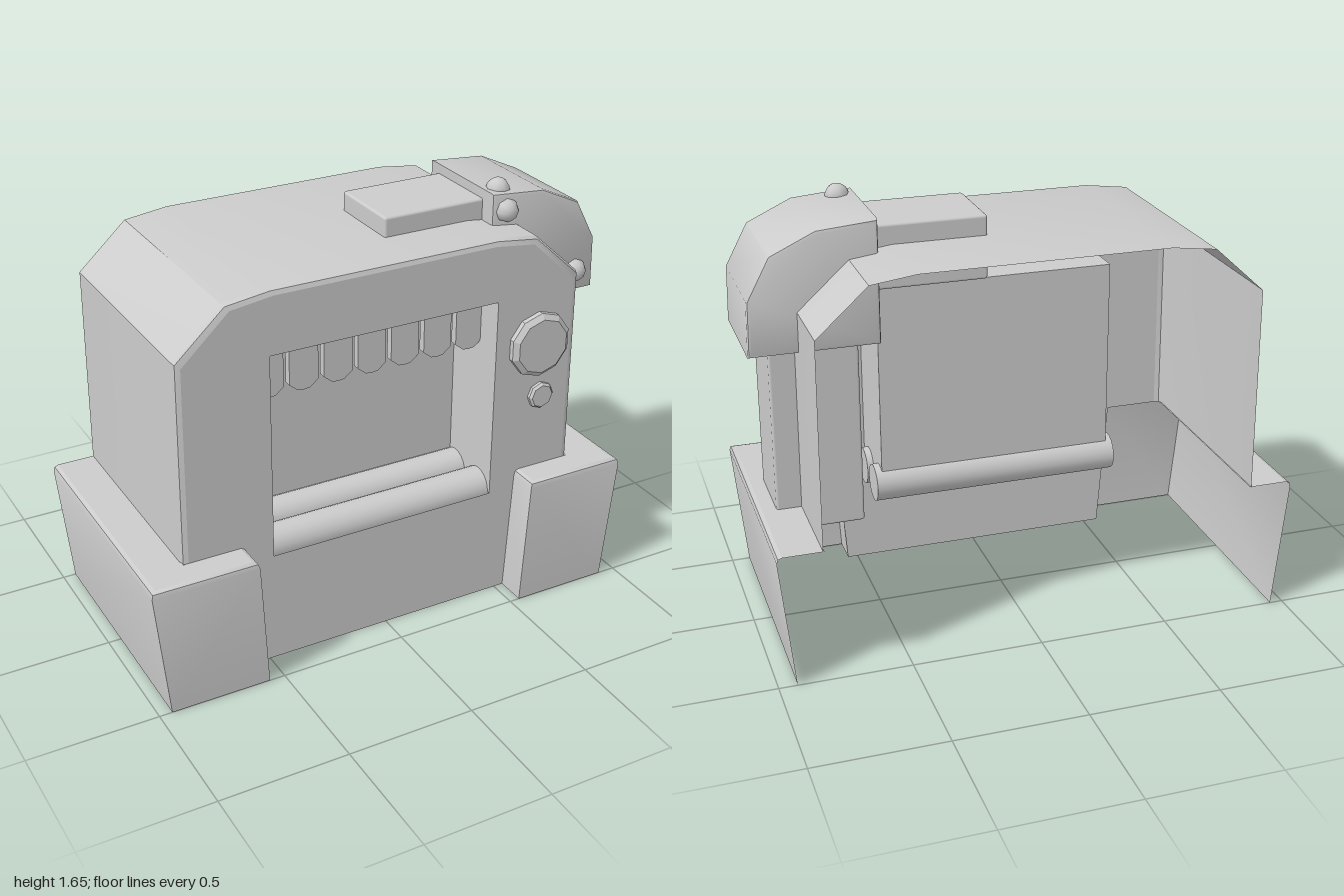
import * as THREE from 'three';
import { toCreasedNormals } from 'three/addons/utils/BufferGeometryUtils.js';
import { RoundedBoxGeometry } from 'three/addons/geometries/RoundedBoxGeometry.js';

const CX = -0.01; // middle line of the housing
const material = new THREE.MeshStandardMaterial({ color: 0xcccccc, side: THREE.DoubleSide });

function add(parent, name, geometry, x = 0, y = 0, z = 0) {
  const mesh = new THREE.Mesh(geometry, material);
  mesh.name = name;
  mesh.position.set(x, y, z);
  parent.add(mesh);
  return mesh;
}

// Open skin through a row of cross-sections with equal point counts
function loft(sections, crease = 0.6) {
  const n = sections[0].length;
  const index = [];
  for (let i = 0; i < sections.length - 1; i++) {
    for (let j = 0; j < n - 1; j++) {
      const a = i * n + j, b = a + n;
      index.push(a, a + 1, b, b, a + 1, b + 1);
    }
  }
  const geometry = new THREE.BufferGeometry();
  geometry.setAttribute('position', new THREE.Float32BufferAttribute(sections.flat(2), 3));
  geometry.setIndex(index);
  return toCreasedNormals(geometry, crease);
}

const shapeOf = (points) => new THREE.Shape(points.map(([x, y]) => new THREE.Vector2(x, y)));

// Half outline of the housing, mirrored into a full arch
function archProfile(inset) {
  const half = [[0.825, 0.52], [0.82, 1.31], [0.63, 1.483], [0.46, 1.505]]
    .map(([x, y]) => [x * (1 - inset / 0.82), y > 1 ? y - inset * 0.9 : y]);
  const right = half.map(([x, y]) => [CX + x, y]);
  const left = half.map(([x, y]) => [CX - x, y]).reverse();
  return [...right, ...left];
}

function buildHousing(group) {
  // Skin, open at the back, with a rounded front edge
  const steps = [[-0.5, 0], [0.355, 0], [0.373, 0.007], [0.38, 0.025]];
  add(group, 'housingShell', loft(steps.map(([z, d]) => archProfile(d).map(([x, y]) => [x, y, z]))));

  // Front wall with window, running down between the feet
  const front = shapeOf([...archProfile(0.025),
    [CX - 0.59, 0.52], [CX - 0.55, 0], [CX + 0.55, 0], [CX + 0.59, 0.52]]);
  const hole = [[-0.475, 0.45], [-0.475, 1.26], [0.455, 1.26], [0.455, 0.45]];
  front.holes.push(new THREE.Path(hole.map(([x, y]) => new THREE.Vector2(x, y))));
  add(group, 'frontWall', new THREE.ShapeGeometry(front), 0, 0, 0.38);

  // Window recess
  add(group, 'windowRecess', loft([0.38, 0.09].map((z) => hole.map(([x, y]) => [x, y, z]))));
  add(group, 'recessBack', new THREE.PlaneGeometry(0.93, 0.81), -0.01, 0.855, 0.09);
}

// One side of the stand: tapered walls, rounded rim and top ledge
function buildFoot(group, side) {
  const rings = [[0, 0.55, 0.94, 0.5], [0.5, 0.577, 0.99, 0.5],
    [0.517, 0.583, 0.985, 0.495], [0.523, 0.597, 0.97, 0.48]];
  const walls = rings.map(([y, inner, outer, z]) =>
    [[inner, 0.38], [inner, z], [outer, z], [outer, -0.5]].map(([x, d]) => [CX + side * x, y, d]));
  add(group, side > 0 ? 'leftFootWalls' : 'rightFootWalls', loft(walls, 0.75));
  const ledge = shapeOf([[0.597, 0.38], [0.597, 0.48], [0.97, 0.48], [0.97, -0.5], [0.82, -0.5], [0.82, 0.38]]
    .map(([x, z]) => [CX + side * x, -z]));
  add(group, side > 0 ? 'leftFootLedge' : 'rightFootLedge',
    new THREE.ShapeGeometry(ledge).rotateX(-Math.PI / 2), 0, 0.523, 0);
}

function buildWindowParts(group) {
  // Row of pointed strips hanging in the window
  const strip = shapeOf([[-0.058, 0.22], [-0.058, 0.03], [-0.025, 0.003], [0, 0],
    [0.025, 0.003], [0.058, 0.03], [0.058, 0.22]]);
  const geometry = new THREE.ExtrudeGeometry(strip, { depth: 0.03, bevelEnabled: false });
  for (let i = 0; i < 7; i++) {
    add(group, 'hangingStrip', geometry, -0.428 + i * 0.1387, 1.037, 0.24);
  }
  // Pair of rollers at the bottom
  for (const z of [0.295, 0.13]) {
    add(group, 'roller', toCreasedNormals(
      new THREE.CylinderGeometry(0.073, 0.073, 0.98, 20).rotateZ(Math.PI / 2), 0.7), -0.01, 0.45, z);
  }
}

// Faceted disc with a bevelled face, pointing to +z
function knob(radius, depth, sides) {
  const profile = [[radius, -0.01], [radius, depth * 0.55], [radius * 0.84, depth], [0, depth]]
    .map(([x, y]) => new THREE.Vector2(x, y));
  return toCreasedNormals(new THREE.LatheGeometry(profile, sides).rotateX(Math.PI / 2), 0.4);
}

function buildClamp(group) {
  // Curved cover over the shoulder
  const curve = [[0.525, 1.17], [0.975, 1.17], [0.97, 1.36], [0.89, 1.51], [0.73, 1.585], [0.525, 1.603]];
  const cover = new THREE.ExtrudeGeometry(shapeOf(curve),
    { depth: 0.41, bevelThickness: 0.015, bevelSize: 0.014, bevelSegments: 2 });
  add(group, 'clampCover', toCreasedNormals(cover, 0.7), 0, 0, -0.195);
  add(group, 'clampPost', new RoundedBoxGeometry(0.33, 0.76, 0.28, 2, 0.01), 0.743, 0.81, 0.01);
  add(group, 'clampTongue', new RoundedBoxGeometry(0.45, 0.24, 0.315, 2, 0.01), 0.323, 1.46, 0.003);

  // Domed rivets
  const dome = new THREE.SphereGeometry(0.046, 8, 4, 0, Math.PI * 2, 0, Math.PI / 2);
  add(group, 'topRivet', dome, 0.573, 1.607, 0.165);
  for (const [x, y] of [[0.573, 1.547], [0.9, 1.243]]) {
    add(group, 'frontRivet', dome, x, y, 0.228).rotation.x = Math.PI / 2;
  }
}

export function createModel() {
  const group = new THREE.Group();
  group.name = 'rollerMachine';
  buildHousing(group);
  for (const side of [1, -1]) buildFoot(group, side);
  buildWindowParts(group);
  add(group, 'largeKnob', knob(0.13, 0.037, 10), 0.64, 1.055, 0.38);
  add(group, 'smallButton', knob(0.054, 0.022, 8), 0.662, 0.833, 0.38);
  buildClamp(group);
  return group;
}
